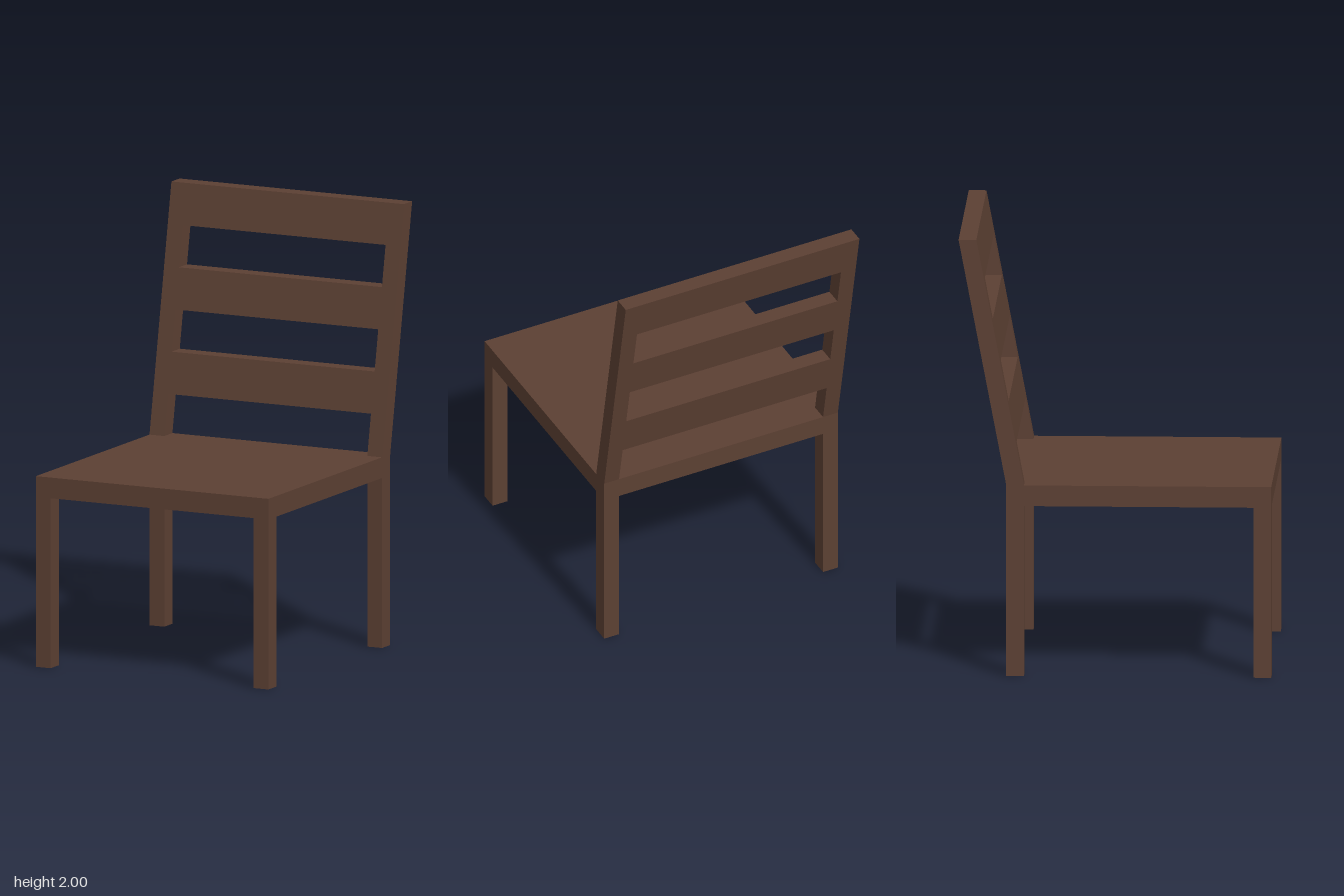
import * as THREE from 'three';

const HALF_W = 0.59, FRONT = 0.705, SEAT_TOP = 0.875, SEAT_BOTTOM = 0.78;
const POST_W = 0.075, THICK = 0.08, SEAT_BACK = -0.49, TOP = 2;
const LEAN = (FRONT + SEAT_BACK) / (TOP - SEAT_TOP); // backward shift per unit of height

export function createModel() {
  const chair = new THREE.Group();
  chair.name = 'chair';
  const wood = new THREE.MeshStandardMaterial({ color: 0x5c4033 });
  wood.name = 'dark brown wood';

  // Box given by its limits on each axis
  function boxGeometry(x0, x1, y0, y1, z0, z1) {
    return new THREE.BoxGeometry(x1 - x0, y1 - y0, z1 - z0)
      .translate((x0 + x1) / 2, (y0 + y1) / 2, (z0 + z1) / 2);
  }

  function add(name, geometry, parent = chair) {
    const mesh = new THREE.Mesh(geometry, wood);
    mesh.name = name;
    parent.add(mesh);
  }

  // Backrest piece: slanted front and back, level top and bottom
  function leaningBox(x0, x1, y0, y1) {
    const g = boxGeometry(x0, x1, y0, y1, SEAT_BACK, SEAT_BACK + THICK);
    const p = g.attributes.position;
    for (let i = 0; i < p.count; i++) {
      p.setZ(i, p.getZ(i) - (p.getY(i) - SEAT_TOP) * LEAN);
    }
    g.computeVertexNormals();
    return g;
  }

  // Seat
  add('seat', boxGeometry(-HALF_W, HALF_W, SEAT_BOTTOM, SEAT_TOP, SEAT_BACK, FRONT));

  const backrest = new THREE.Group();
  backrest.name = 'backrest';
  chair.add(backrest);

  // Legs and backrest posts on both sides
  for (const [side, x0] of [['left', HALF_W - POST_W], ['right', -HALF_W]]) {
    const x1 = x0 + POST_W;
    add(side + 'FrontLeg', boxGeometry(x0, x1, 0, SEAT_BOTTOM, FRONT - THICK, FRONT));
    add(side + 'BackLeg', boxGeometry(x0, x1, 0, SEAT_BOTTOM, SEAT_BACK, SEAT_BACK + THICK));
    add(side + 'Post', leaningBox(x0, x1, SEAT_TOP, TOP), backrest);
  }

  // Slats and gaps share the backrest height equally
  const step = (TOP - SEAT_TOP) / 6;
  const inner = HALF_W - POST_W;
  ['lowerSlat', 'middleSlat', 'topSlat'].forEach((name, i) => {
    const y = SEAT_TOP + step * (2 * i + 1);
    add(name, leaningBox(-inner, inner, y, y + step), backrest);
  });

  return chair;
}
